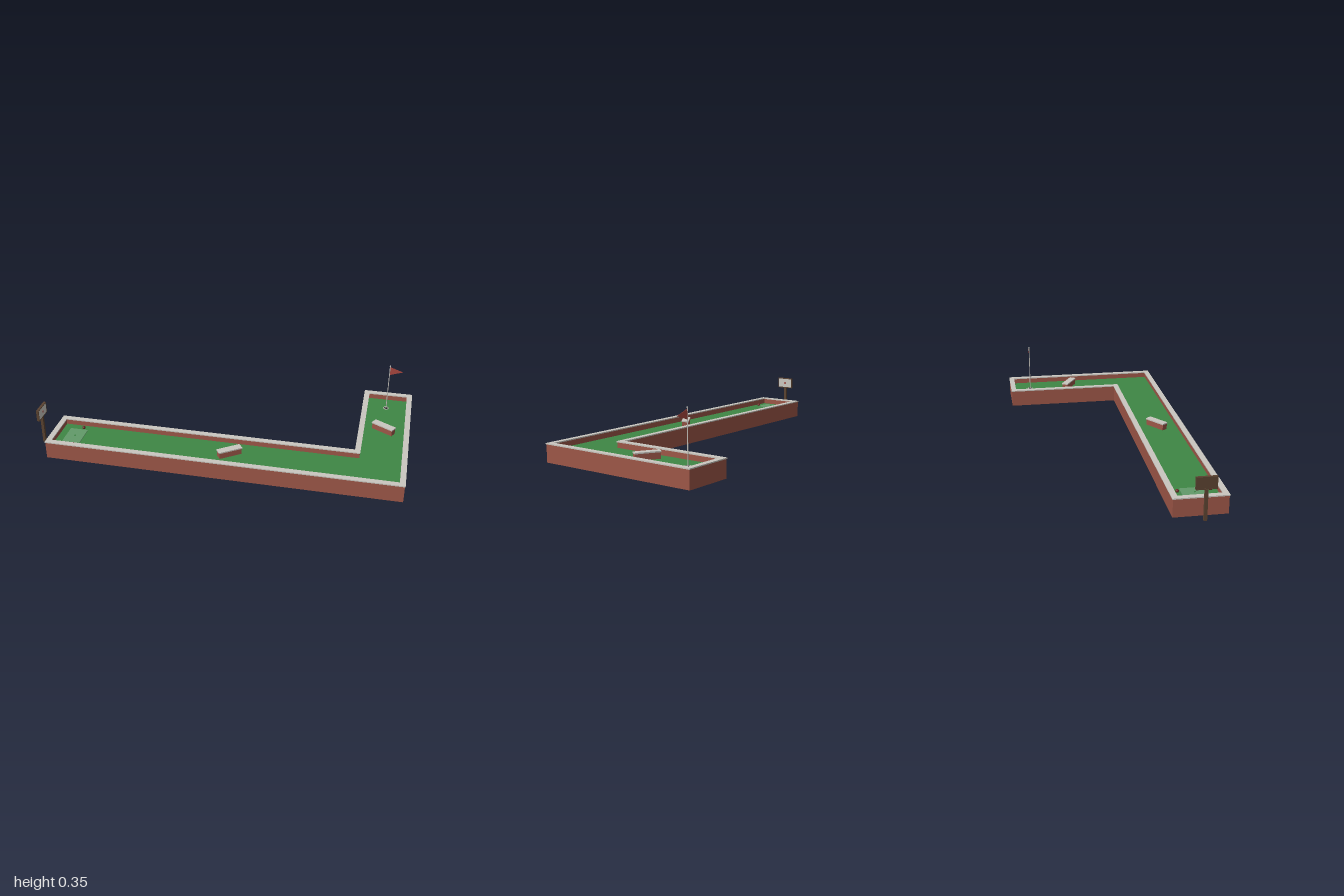
import * as THREE from 'three';

const mat = (name, color, side = THREE.FrontSide) => {
  const m = new THREE.MeshStandardMaterial({ color, side });
  m.name = name;
  return m;
};

// L-shaped outline of the course, moved inwards by d (shape y is -z)
function outline(d) {
  const x0 = -0.928 + d, x1 = 1 - d, back = 0.47 - d, front = -0.47 + d;
  const cx = 0.722 + d, cy = -0.187 - d;
  return [[x0, front], [x1, front], [x1, back], [cx, back], [cx, cy], [x0, cy]]
    .map(([x, y]) => new THREE.Vector2(x, y));
}

// Slab or ring following the outline, from height y0 to y1
function course(outer, inner, y0, y1) {
  const shape = new THREE.Shape(outline(outer));
  if (inner !== null) shape.holes.push(new THREE.Path(outline(inner)));
  const g = new THREE.ExtrudeGeometry(shape, { depth: y1 - y0, bevelEnabled: false });
  return g.rotateX(-Math.PI / 2).translate(0, y0, 0);
}

export function createModel() {
  const brick = mat('brick', 0x9c5647);
  const stone = mat('pale stone', 0xcac7c0);
  const turf = mat('turf green', 0x3f8745);
  const mat_ = mat('tee mat green', 0x629a6a);
  const concrete = mat('concrete', 0x96938c);
  const wood = mat('dark wood', 0x5a4230);
  const dark = mat('hole black', 0x222222);
  const red = mat('flag red', 0xa8463f, THREE.DoubleSide);
  const marker = mat('marker maroon', 0x6b2a26);

  const root = new THREE.Group();
  root.name = 'miniGolfHole';
  const add = (name, geo, material, x = 0, y = 0, z = 0, parent = root) => {
    const mesh = new THREE.Mesh(geo, material);
    mesh.name = name;
    mesh.position.set(x, y, z);
    parent.add(mesh);
    return mesh;
  };
  const box = (w, h, d) => new THREE.BoxGeometry(w, h, d);
  const floorY = 0.066;

  // Course: base, playing surface, kerb walls and coping
  add('base', course(0.027, null, 0, 0.062), concrete);
  add('turf', course(0.027, null, 0.062, floorY), turf);
  add('kerbWall', course(0.003, 0.027, 0, 0.095), brick);
  add('coping', course(0, 0.03, 0.095, 0.101), stone);

  // Angled obstacles: brick body with a stone cap
  for (const [x, z, deg] of [[0.066, 0.328, 35], [0.857, -0.088, -30]]) {
    const block = new THREE.Group();
    block.name = 'obstacle';
    block.position.set(x, 0, z);
    block.rotation.y = THREE.MathUtils.degToRad(deg);
    add('obstacleBody', box(0.128, 0.033, 0.034), brick, 0, floorY + 0.0165, 0, block);
    add('obstacleCap', box(0.134, 0.007, 0.04), stone, 0, 0.1025, 0, block);
    root.add(block);
  }

  // Tee: mat, ball spot and two markers
  add('teeMat', box(0.1, 0.004, 0.135), mat_, -0.81, floorY + 0.002, 0.327);
  add('teeSpot', new THREE.CylinderGeometry(0.005, 0.005, 0.002, 16), turf, -0.81, floorY + 0.005, 0.327);
  for (const z of [0.243, 0.411])
    add('teeMarker', new THREE.SphereGeometry(0.009, 16, 12), marker, -0.79, floorY + 0.006, z);

  // Cup with its rim
  const hx = 0.857, hz = -0.342;
  add('cup', new THREE.CylinderGeometry(0.012, 0.012, 0.002, 24), dark, hx, floorY + 0.001, hz);
  add('cupRim', new THREE.TorusGeometry(0.0135, 0.0025, 8, 24).rotateX(Math.PI / 2), stone, hx, floorY + 0.001, hz);

  // Flag on its pole
  add('flagPole', new THREE.CylinderGeometry(0.0025, 0.0025, 0.277, 10), stone, hx, floorY + 0.1385, hz);
  add('poleKnob', new THREE.SphereGeometry(0.004, 12, 8), stone, hx, 0.343, hz);
  const pennant = new THREE.Shape([[0, 0.287], [0.073, 0.312], [0, 0.337]].map(p => new THREE.Vector2(...p)));
  add('flag', new THREE.ExtrudeGeometry(pennant, { depth: 0.002, bevelEnabled: false }), red, hx + 0.001, 0, hz - 0.001);

  // Sign beside the tee, facing along the fairway
  const sign = new THREE.Group();
  sign.name = 'sign';
  sign.position.set(-0.992, 0, 0.331);
  add('signPost', box(0.015, 0.164, 0.016), wood, 0, 0.092, 0, sign);
  add('signBoard', box(0.01, 0.064, 0.104), wood, 0, 0.204, 0, sign);
  for (const s of [-1, 1]) {
    add('signFrameRail', box(0.014, 0.005, 0.104), wood, 0.001, 0.204 + s * 0.0298, 0, sign);
    add('signFrameStile', box(0.014, 0.064, 0.005), wood, 0.001, 0.204, s * 0.0498, sign);
  }
  add('signPanel', box(0.003, 0.055, 0.095), stone, 0.0065, 0.204, 0, sign);
  add('signDot', new THREE.CylinderGeometry(0.006, 0.006, 0.003, 20).rotateZ(Math.PI / 2), red, 0.0085, 0.204, 0, sign);
  root.add(sign);

  return root;
}
